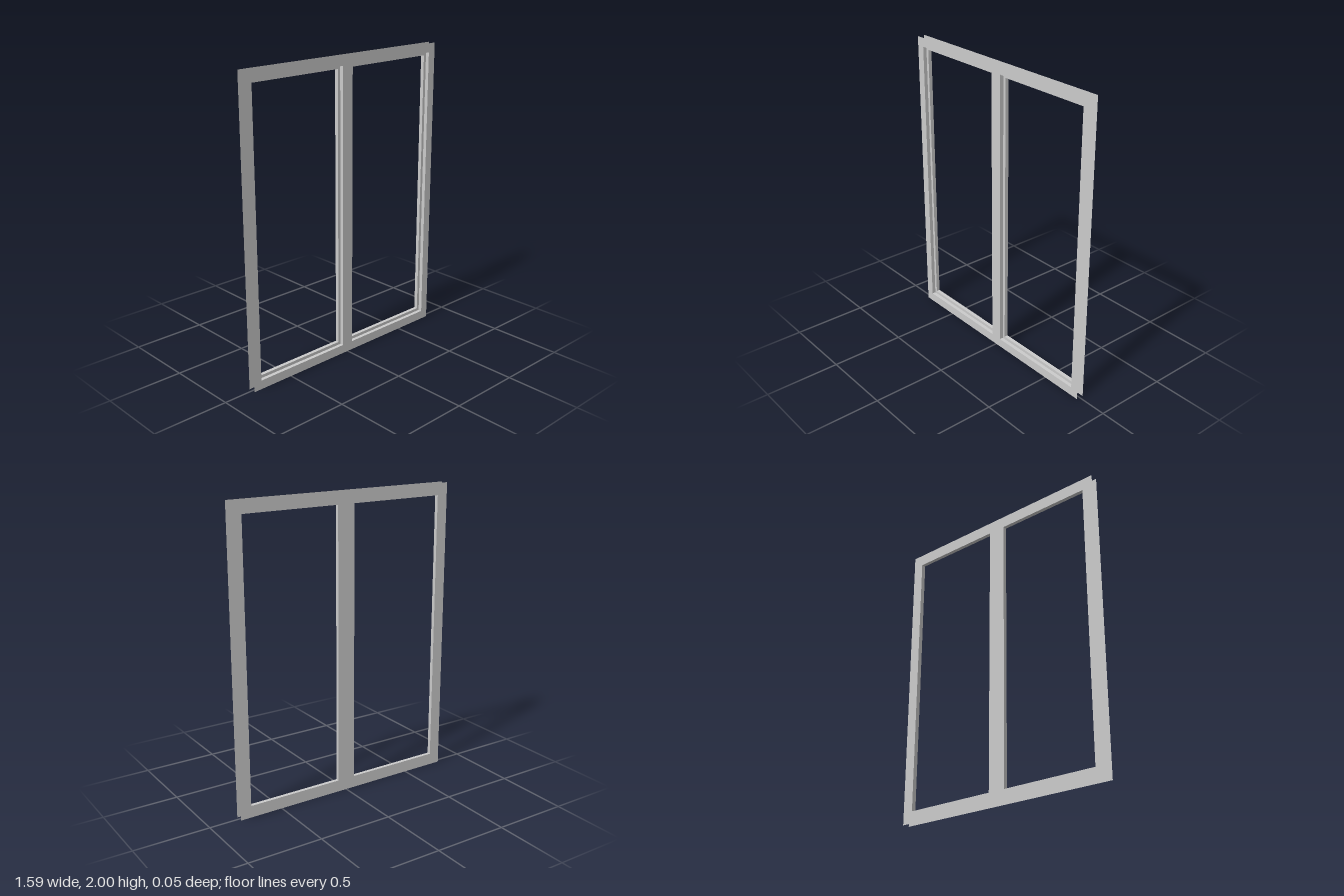
import * as THREE from 'three';

const material = new THREE.MeshStandardMaterial({ color: 0xcccccc, side: THREE.DoubleSide });

const HALF_W = 0.797, HEIGHT = 2;
const FRONT = 0.025, STEP = 0, BACK = -0.025;
// Openings as [x0, x1, y0, y1] for the left pane; the right pane mirrors them.
const WIDE = [0.041, 0.741, 0.06, 1.94];
const NARROW = [0.061, 0.721, 0.08, 1.92];

const mirror = ([x0, x1, y0, y1]) => [-x1, -x0, y0, y1];

function rect(Type, [x0, x1, y0, y1]) {
  return new Type([[x0, y0], [x1, y0], [x1, y1], [x0, y1]].map(p => new THREE.Vector2(...p)));
}

// Flat sheet with rectangular holes
function sheet(name, outline, holes, z, facesBack = false) {
  const shape = rect(THREE.Shape, outline);
  shape.holes = holes.map(h => rect(THREE.Path, h));
  const geometry = new THREE.ShapeGeometry(shape);
  if (facesBack) geometry.rotateY(Math.PI);
  const mesh = new THREE.Mesh(geometry, material);
  mesh.name = name;
  mesh.position.z = z;
  return mesh;
}

// Four walls lining an opening, facing its middle
function reveal(name, [x0, x1, y0, y1], zFront, zBack) {
  const group = new THREE.Group();
  group.name = name;
  const w = x1 - x0, h = y1 - y0, d = zFront - zBack;
  const cx = (x0 + x1) / 2, cy = (y0 + y1) / 2, cz = (zFront + zBack) / 2;
  const add = (part, geometry, x, y) => {
    const mesh = new THREE.Mesh(geometry, material);
    mesh.name = part;
    mesh.position.set(x, y, cz);
    group.add(mesh);
  };
  for (const s of [-1, 1]) {
    add(s < 0 ? 'rightWall' : 'leftWall',
      new THREE.PlaneGeometry(d, h).rotateY(-s * Math.PI / 2), cx + s * w / 2, cy);
    add(s < 0 ? 'sill' : 'head',
      new THREE.PlaneGeometry(w, d).rotateX(s * Math.PI / 2), cx, cy + s * h / 2);
  }
  return group;
}

export function createModel() {
  const model = new THREE.Group();
  model.name = 'windowFrame';
  const outline = [-HALF_W, HALF_W, 0, HEIGHT];

  // Front and back faces, open around the outer edge
  model.add(sheet('frontFace', outline, [WIDE, mirror(WIDE)], FRONT));
  model.add(sheet('backFace', outline, [NARROW, mirror(NARROW)], BACK, true));

  // Stepped lining of each opening
  for (const side of ['left', 'right']) {
    const wide = side === 'left' ? WIDE : mirror(WIDE);
    const narrow = side === 'left' ? NARROW : mirror(NARROW);
    model.add(reveal(side + 'FrontReveal', wide, FRONT, STEP));
    model.add(sheet(side + 'GlazingLedge', wide, [narrow], STEP));
    model.add(reveal(side + 'BackReveal', narrow, STEP, BACK));
  }
  return model;
}
